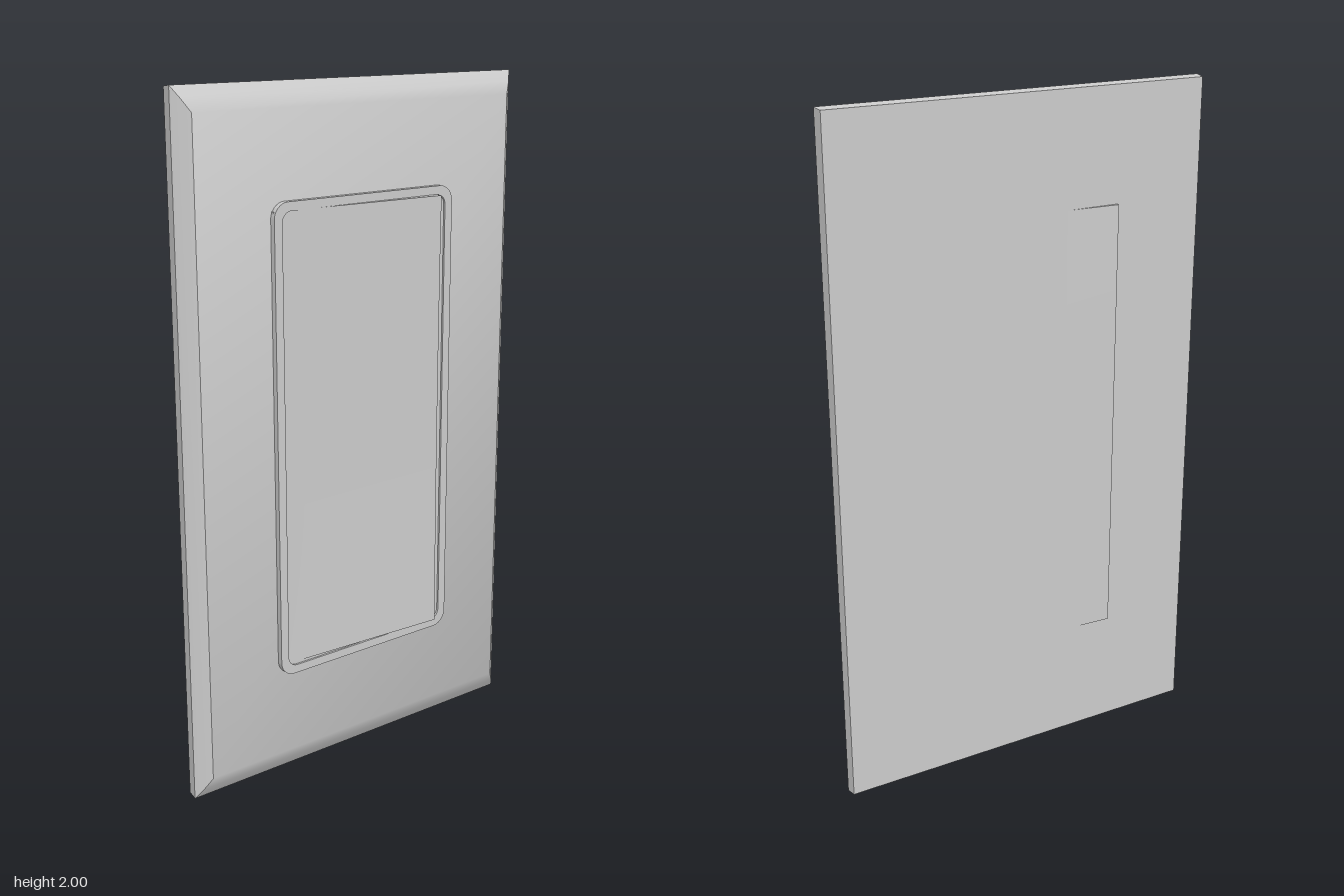
import * as THREE from 'three';
import { toCreasedNormals } from 'three/addons/utils/BufferGeometryUtils.js';

const material = new THREE.MeshStandardMaterial({ color: 0xcccccc });

function part(name, geometry, crease = 0.6) {
  const mesh = new THREE.Mesh(toCreasedNormals(geometry, crease), material);
  mesh.name = name;
  return mesh;
}

// Rounded rectangle outline, centred on the origin
function roundedRect(hw, hh, r, target = new THREE.Shape()) {
  target.absarc(hw - r, hh - r, r, 0, Math.PI / 2);
  target.absarc(-hw + r, hh - r, r, Math.PI / 2, Math.PI);
  target.absarc(-hw + r, -hh + r, r, Math.PI, Math.PI * 1.5);
  target.absarc(hw - r, -hh + r, r, Math.PI * 1.5, Math.PI * 2);
  target.closePath();
  return target;
}

const extrude = (shape, depth) =>
  new THREE.ExtrudeGeometry(shape, { depth, bevelEnabled: false, curveSegments: 6 });

// Wall plate: rectangular sections [half width, half height, z], back to front
function plateGeometry() {
  const sections = [
    [0.577, 0.996, -0.053],
    [0.581, 1.0, -0.02],
    [0.562, 0.969, 0.0],
    [0.54, 0.933, 0.017],
  ];
  const positions = [];
  const index = [];
  for (const [w, h, z] of sections) {
    positions.push(-w, -h, z, w, -h, z, w, h, z, -w, h, z);
  }
  for (let j = 0; j < sections.length - 1; j++) {
    for (let i = 0; i < 4; i++) {
      const a = j * 4 + i;
      const b = j * 4 + (i + 1) % 4;
      index.push(a, b, b + 4, a, b + 4, a + 4);
    }
  }
  const f = (sections.length - 1) * 4;
  index.push(f, f + 1, f + 2, f, f + 2, f + 3, 0, 2, 1, 0, 3, 2);
  const geometry = new THREE.BufferGeometry();
  geometry.setAttribute('position', new THREE.Float32BufferAttribute(positions, 3));
  geometry.setIndex(index);
  return geometry;
}

// Rocker paddle: a box whose front face is slightly hollow along its height
function rockerGeometry(width, height, depth) {
  const geometry = new THREE.BoxGeometry(width, height, depth, 1, 16, 1);
  const p = geometry.attributes.position;
  for (let i = 0; i < p.count; i++) {
    if (p.getZ(i) > 0) {
      const t = p.getY(i) / (height / 2);
      p.setZ(i, p.getZ(i) - 0.004 * (1 - t * t));
    }
  }
  return geometry;
}

export function createModel() {
  const group = new THREE.Group();
  group.name = 'wallSwitch';

  const plate = part('wallPlate', plateGeometry());
  plate.position.y = 1;
  group.add(plate);

  // Raised surround: a base slab with a thin rim on top
  const surround = new THREE.Group();
  surround.name = 'surround';
  surround.position.set(0.005, 1.005, 0);
  const base = part('surroundBase', extrude(roundedRect(0.312, 0.685, 0.045), 0.028));
  const rimShape = roundedRect(0.312, 0.685, 0.045);
  rimShape.holes.push(roundedRect(0.286, 0.66, 0.03, new THREE.Path()));
  const rim = part('surroundRim', extrude(rimShape, 0.006));
  rim.position.z = 0.028;
  surround.add(base, rim);
  group.add(surround);

  // Rocker, tilted so its left side stands proud
  const rocker = part('rocker', rockerGeometry(0.562, 1.312, 0.089));
  rocker.position.set(-0.022, 1.01, -0.002);
  rocker.rotation.y = -0.056;
  group.add(rocker);

  return group;
}
